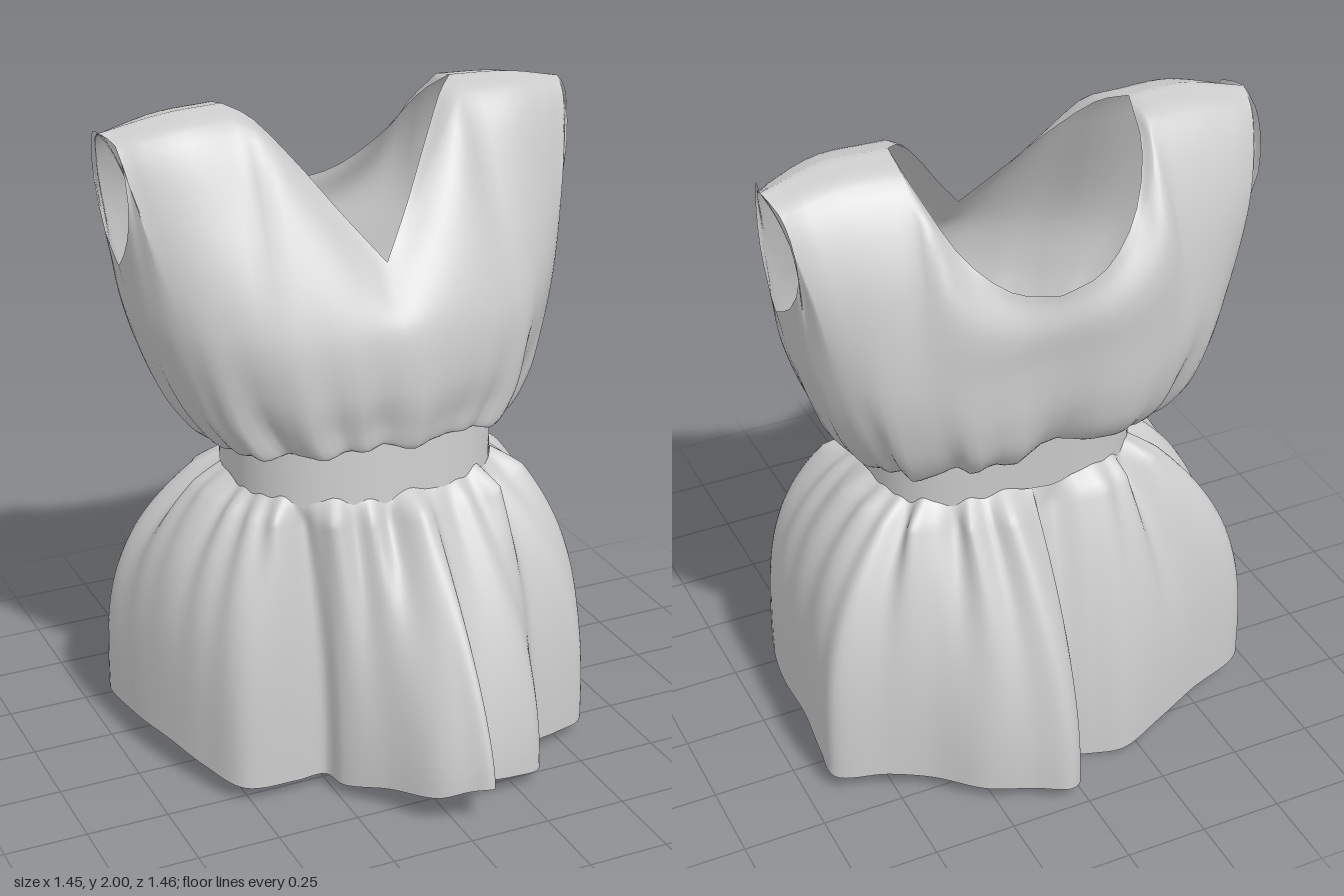
import * as THREE from 'three';
import { mergeVertices } from 'three/addons/utils/BufferGeometryUtils.js';

const V = (x, y, z) => new THREE.Vector3(x, y, z);
const path = (...pts) => new THREE.CatmullRomCurve3(pts.map((p) => V(...p)));
const cloth = new THREE.MeshStandardMaterial({ color: 0xcccccc, side: THREE.DoubleSide });

// Smooth sheet from point(u, v); u runs round the body, v runs upward
function sheet(name, cols, rows, point) {
  const pos = [], index = [];
  for (let i = 0; i <= cols; i++)
    for (let j = 0; j <= rows; j++) pos.push(...point((i % cols) / cols, j / rows).toArray());
  for (let i = 0; i < cols; i++)
    for (let j = 0; j < rows; j++) {
      const a = i * (rows + 1) + j, b = a + rows + 1;
      index.push(a, b, b + 1, a, b + 1, a + 1);
    }
  let geo = new THREE.BufferGeometry();
  geo.setAttribute('position', new THREE.Float32BufferAttribute(pos, 3));
  geo.setIndex(index);
  geo = mergeVertices(geo, 1e-4);
  geo.computeVertexNormals();
  const mesh = new THREE.Mesh(geo, cloth);
  mesh.name = name;
  return mesh;
}

// Body section: rounded in front, squarer behind; angle 0 faces the front
function ring(angle, { y, w, front, back, mid, square }) {
  const s = Math.sin(angle), c = Math.cos(angle), e = c < 0 ? square : 0.92;
  const x = w * Math.sign(s) * Math.abs(s) ** e;
  const z = mid + (c < 0 ? back - mid : front - mid) * Math.abs(c) ** e;
  return V(x, y, z);
}

// Irregular gathers in the fabric, about -1 to 1
const gathers = (a) =>
  0.45 * Math.sin(11 * a + 0.6) + 0.35 * Math.sin(17 * a + 2 * Math.sin(2 * a)) + 0.25 * Math.sin(27 * a + 1.3);

function pushOut(p, amount) {
  const d = Math.hypot(p.x, p.z + 0.1) || 1;
  p.x += (p.x / d) * amount;
  p.z += ((p.z + 0.1) / d) * amount;
  return p;
}

// Upper edges of the bodice: neckline, shoulder ridge, armhole
const shoulder = path([0.36, 2, -0.18], [0.54, 1.995, -0.165], [0.725, 1.955, -0.185]);
const edges = {
  front: [
    path([0, 1.58, 0.16], [0.1, 1.71, 0.075], [0.2, 1.85, -0.02], [0.3, 1.97, -0.12], [0.36, 2, -0.18]),
    shoulder,
    path([0.725, 1.955, -0.185], [0.705, 1.94, -0.1], [0.695, 1.85, -0.06], [0.69, 1.72, -0.06],
      [0.69, 1.62, -0.11], [0.69, 1.57, -0.16]),
  ],
  back: [
    path([0, 1.63, -0.505], [0.13, 1.66, -0.49], [0.25, 1.76, -0.43], [0.33, 1.91, -0.32], [0.36, 2, -0.18]),
    shoulder,
    path([0.725, 1.955, -0.185], [0.71, 1.935, -0.28], [0.7, 1.88, -0.33], [0.69, 1.77, -0.35],
      [0.69, 1.64, -0.27], [0.69, 1.57, -0.16]),
  ],
};

function topEdge(deg) {
  const side = deg > 180 ? -1 : 1;
  let a = side < 0 ? 360 - deg : deg;
  const set = a <= 90 ? edges.front : edges.back;
  if (a > 90) a = 180 - a;
  const p = a <= 33 ? set[0].getPoint(a / 33)
    : a <= 60 ? set[1].getPoint((a - 33) / 27)
      : set[2].getPoint((a - 60) / 30);
  p.x *= side;
  return p;
}

const bodiceRings = [
  { y: 1.075, w: 0.39, front: 0.245, back: -0.345, mid: -0.03, square: 0.62, fold: 0, sag: 0, dent: 0 },
  { y: 1.04, w: 0.45, front: 0.272, back: -0.41, mid: -0.07, square: 0.68, fold: 0.022, sag: 0.018, dent: 0.02 },
  { y: 1.12, w: 0.535, front: 0.29, back: -0.485, mid: -0.11, square: 0.75, fold: 0.028, sag: 0.008, dent: 0.04 },
  { y: 1.24, w: 0.6, front: 0.31, back: -0.52, mid: -0.15, square: 0.75, fold: 0.015, sag: 0, dent: 0.035 },
  { y: 1.42, w: 0.66, front: 0.287, back: -0.53, mid: -0.16, square: 0.75, fold: 0.004, sag: 0, dent: 0.025 },
];

function makeBodice() {
  const cols = 120;
  const columns = Array.from({ length: cols }, (_, i) => {
    const a = (i / cols) * Math.PI * 2;
    const centreBack = Math.exp(-(((a - Math.PI) / 0.13) ** 2));
    const pts = bodiceRings.map((r) => {
      const p = pushOut(ring(a, r), r.fold * gathers(a) - r.dent * centreBack);
      // The blouse hangs lower at the sides than in front
      p.y += r.sag * (Math.cos(2 * a) - 0.6 * gathers(a));
      return p;
    });
    const end = topEdge((i / cols) * 360), last = pts[pts.length - 1];
    // Round the panels as they curve over to the shoulder, but not at the armholes
    const fromCentre = THREE.MathUtils.radToDeg(Math.asin(Math.min(1, Math.abs(Math.sin(a)))));
    const soft = 1 - THREE.MathUtils.smoothstep(fromCentre, 57, 75);
    const reach = soft * Math.max(0, (end.y - last.y - 0.16) / 0.42);
    const behind = Math.cos(a) < 0;
    const mid = last.clone().lerp(end, 0.5);
    mid.y += 0.03 * reach;
    mid.z += (behind ? -0.1 : 0.05) * reach;
    const cap = last.clone().lerp(end, 0.88);
    cap.y += 0.035 * reach ** 3;
    cap.z += (behind ? -0.08 : 0.06) * reach ** 2;
    return new THREE.CatmullRomCurve3([...pts, mid, cap, end]);
  });
  return sheet('bodice', cols, 42, (u, v) => columns[Math.round(u * cols) % cols].getPoint(v));
}

function makeWaistband() {
  return sheet('waistband', 96, 6, (u, v) =>
    ring(u * Math.PI * 2, {
      y: 0.88 + 0.2 * v, w: 0.403, front: 0.27 - 0.015 * v, back: -0.345 - 0.012 * v, mid: -0.03, square: 0.62,
    }));
}

// Hem outline, from the front fold round by the left side
const hem = new THREE.CatmullRomCurve3([
  [0.08, 0.14, 0.73], [0.12, 0.08, 0.6], [0.22, 0.06, 0.58], [0.32, 0.05, 0.56], [0.38, 0.04, 0.41],
  [0.48, 0.04, 0.38], [0.57, 0.05, 0.36], [0.62, 0.06, 0.24], [0.65, 0.07, 0.08], [0.65, 0.07, -0.1],
  [0.67, 0.07, -0.28], [0.67, 0.06, -0.39], [0.52, 0.06, -0.45], [0.4, 0.05, -0.51], [0.28, 0.05, -0.62],
  [0.15, 0.05, -0.68], [0.05, 0.05, -0.73], [0.005, 0.04, -0.7], [0, 0.01, -0.55], [-0.1, 0, -0.57],
  [-0.2, 0, -0.59], [-0.35, 0.02, -0.54], [-0.5, 0.04, -0.48], [-0.69, 0.08, -0.42], [-0.69, 0.09, -0.2],
  [-0.645, 0.09, 0], [-0.595, 0.07, 0.15], [-0.52, 0.05, 0.29], [-0.36, 0.04, 0.3], [-0.265, 0.04, 0.3],
  [-0.24, 0.04, 0.38], [-0.15, 0.07, 0.5], [-0.06, 0.1, 0.65], [0.02, 0.13, 0.7],
].map((p) => V(...p)), true);

function makeSkirt() {
  const waist = { y: 0.9, w: 0.405, front: 0.268, back: -0.35, mid: -0.03, square: 0.65 };
  return sheet('skirt', 272, 32, (u, v) => {
    const t = (1 - v) ** 1.5;
    const low = hem.getPoint(u);
    const a = Math.atan2(low.x, low.z);
    const top = ring(a, waist);
    top.y += 0.018 * gathers(a);
    // The sides puff out quickly, front and back slope more evenly
    const c = Math.cos(a);
    const power = 3.8 - (c > 0 ? 2.3 : 1.8) * Math.abs(c) ** 1.5;
    const p = top.clone().lerp(low, 1 - (1 - t) ** power);
    p.y = THREE.MathUtils.lerp(top.y, low.y, t);
    const fold = 0.045 * Math.min(1, t / 0.06) * (1 - t) ** 2.5;
    return pushOut(p, fold * (gathers(a) + 0.4));
  });
}

export function createModel() {
  const dress = new THREE.Group();
  dress.name = 'dress';
  dress.add(makeBodice(), makeWaistband(), makeSkirt());
  return dress;
}
